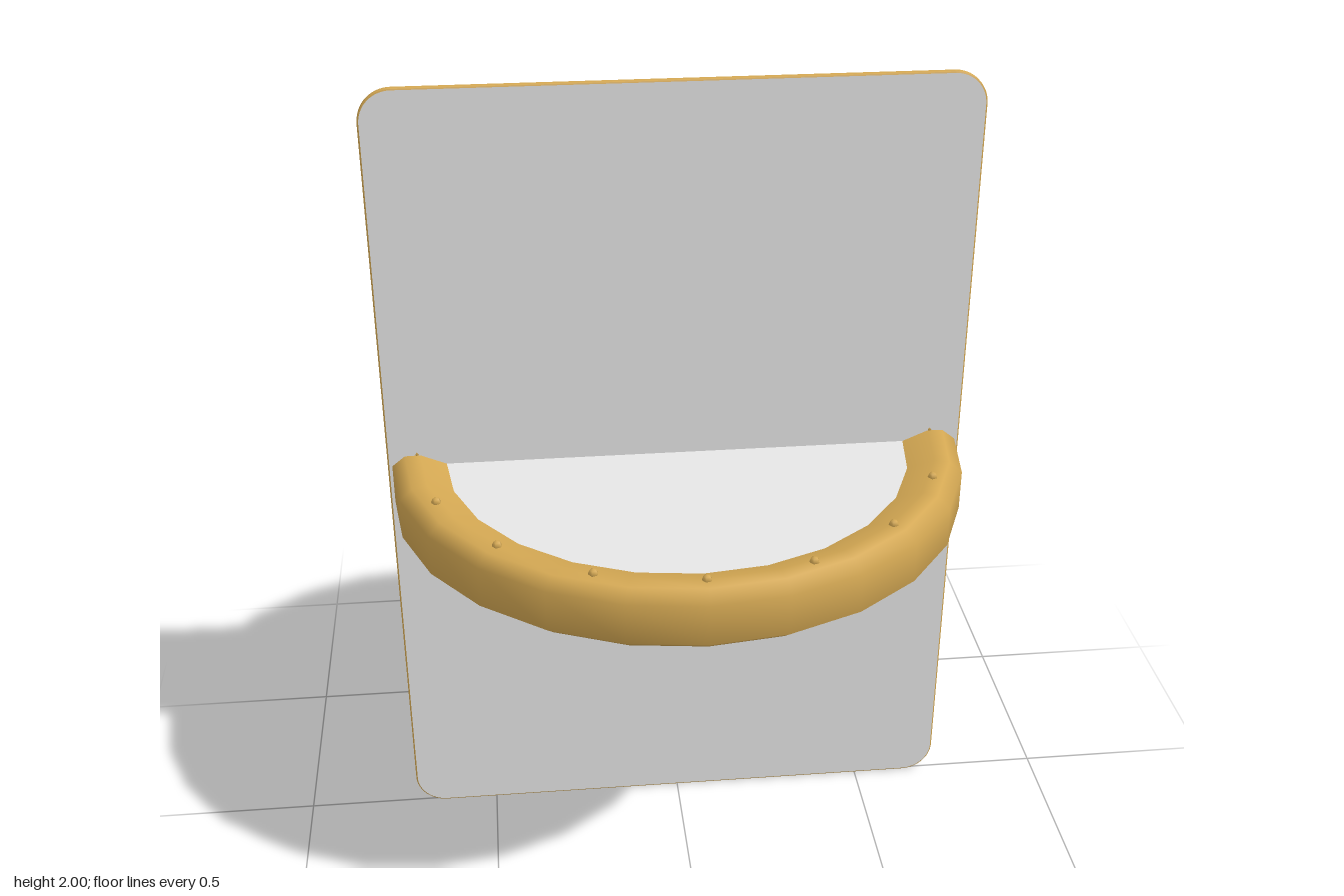
import * as THREE from 'three';

export function createModel() {
  const model = new THREE.Group();
  const makeMaterial = (name, color) => {
    const material = new THREE.MeshStandardMaterial({ color });
    material.name = name;
    return material;
  };
  const gold = makeMaterial('gold', 0xd4a853);
  const silver = makeMaterial('silver', 0xe6e6e6);
  const tan = makeMaterial('tan', 0xcdb488);

  const add = (name, geometry, material, x = 0, y = 0, z = 0) => {
    const mesh = new THREE.Mesh(geometry, material);
    mesh.name = name;
    mesh.position.set(x, y, z);
    model.add(mesh);
  };

  // Upright rounded panel: silver faces, thin bevelled gold rim
  const bevel = 0.004, depth = 0.01;
  const w = 0.715 - bevel, h = 1 - bevel, r = 0.08 - bevel;
  const outline = new THREE.Shape();
  outline.absarc(w - r, h - r, r, 0, Math.PI / 2);
  outline.absarc(-w + r, h - r, r, Math.PI / 2, Math.PI);
  outline.absarc(-w + r, -h + r, r, Math.PI, Math.PI * 1.5);
  outline.absarc(w - r, -h + r, r, Math.PI * 1.5, Math.PI * 2);
  const panel = new THREE.ExtrudeGeometry(outline, {
    depth, bevelEnabled: true, bevelSize: bevel, bevelThickness: bevel,
    bevelSegments: 2, curveSegments: 8,
  });
  add('panel', panel, [silver, gold], 0, 1, -depth / 2);

  // Ring around the panel: rounded outside, sloping gently into the shelf
  const ringY = 1.003;
  const upper = [[0.705, 0.05], [0.673, 0.076], [0.635, 0.077], [0.572, 0.05], [0.53, 0.032]];
  const lower = upper.map(([x, y]) => [x, -y]).reverse();
  const section = [[0.53, 0], ...lower, ...upper, [0.53, 0]]
    .map(([x, y]) => new THREE.Vector2(x, y));
  add('ring', new THREE.LatheGeometry(section, 24), gold, 0, ringY, 0);

  // Shelf filling the ring: silver top, tan underside
  add('shelf', new THREE.CylinderGeometry(0.6, 0.6, 0.1, 24),
    [gold, silver, tan], 0, ringY, 0);

  // Studs on top of the ring
  const stud = new THREE.SphereGeometry(0.012, 5, 4);
  for (let i = 0; i < 16; i++) {
    const a = (i / 16) * Math.PI * 2;
    add('stud', stud, gold, Math.sin(a) * 0.64, ringY + 0.079, Math.cos(a) * 0.64);
  }
  return model;
}
